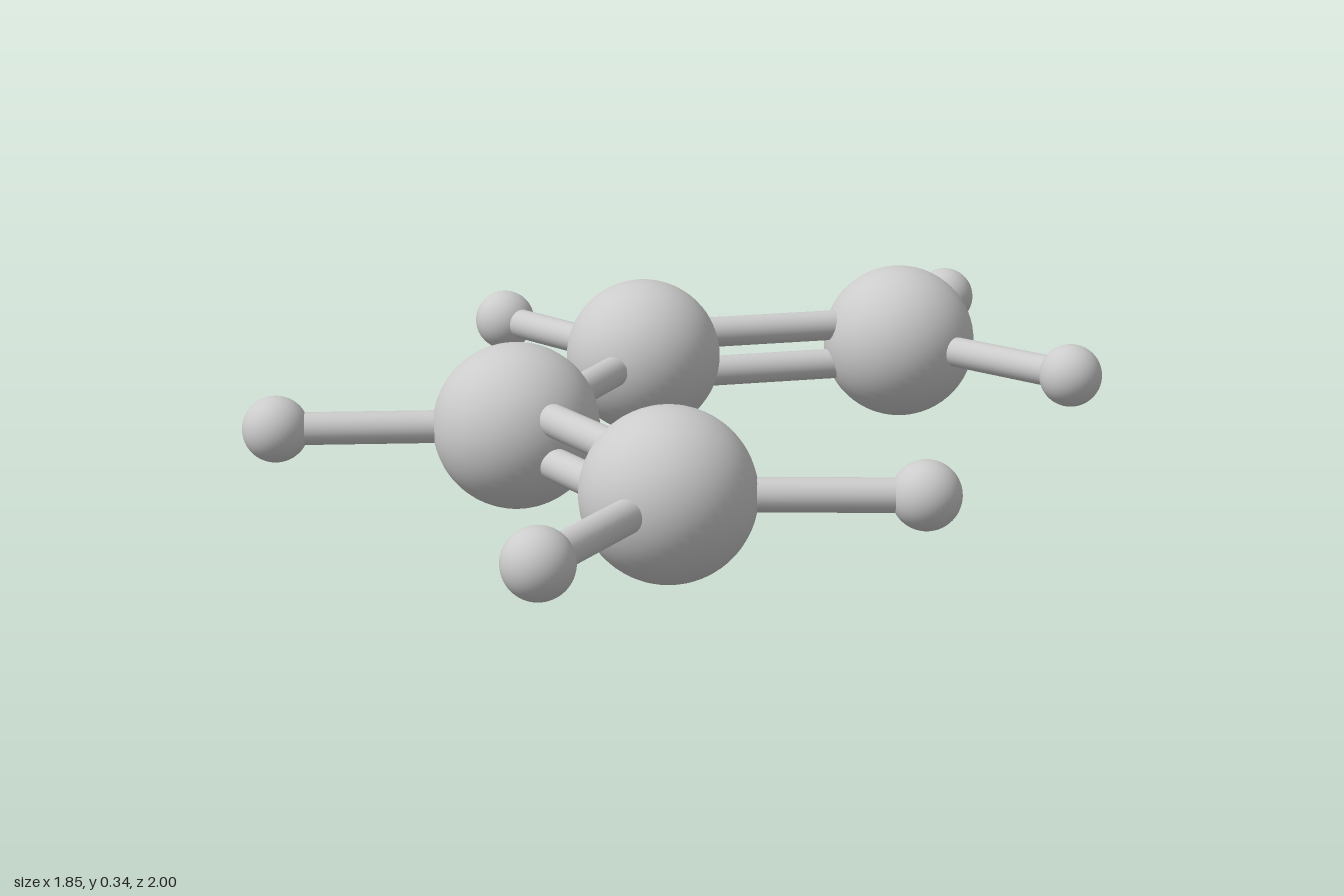
import * as THREE from 'three';

const MID = 0.17; // height of the plane holding every atom
const LARGE = 0.168, SMALL = 0.067, ROD = 0.033, GAP = 0.044;

export function createModel() {
  const model = new THREE.Group();
  model.name = 'ballAndStickMolecule';
  const material = new THREE.MeshStandardMaterial({ color: 0xcccccc });

  const add = (geometry, name) => {
    const mesh = new THREE.Mesh(geometry, material);
    mesh.name = name;
    model.add(mesh);
    return mesh;
  };

  const ball = ([x, z], radius, name) =>
    add(new THREE.SphereGeometry(radius, 48, 32), name).position.set(x, MID, z);

  // Cylinder between two atom centres, optionally lifted off the plane
  const rod = (a, b, lift, name) => {
    const start = new THREE.Vector3(a[0], MID + lift, a[1]);
    const end = new THREE.Vector3(b[0], MID + lift, b[1]);
    const direction = end.clone().sub(start);
    const mesh = add(new THREE.CylinderGeometry(ROD, ROD, direction.length(), 24), name);
    mesh.position.copy(start).lerp(end, 0.5);
    mesh.quaternion.setFromUnitVectors(new THREE.Vector3(0, 1, 0), direction.normalize());
  };

  // Chain of large atoms as [x, z], each with its attached small atoms
  const chain = [
    { at: [0.597, -0.491], small: [[0.853, -0.897], [0.844, -0.081]] },
    { at: [0.008, -0.503], small: [[-0.21, -0.933]] },
    { at: [-0.389, 0.01], small: [[-0.86, -0.091]] },
    { at: [-0.225, 0.578], small: [[0.235, 0.711], [-0.553, 0.933]] },
  ];

  chain.forEach(({ at, small }, i) => {
    ball(at, LARGE, 'largeAtom');
    for (const p of small) {
      ball(p, SMALL, 'smallAtom');
      rod(at, p, 0, 'outerBond');
    }
    // End links are paired rods, the middle link is a single rod
    if (i < chain.length - 1) {
      const lifts = i === 1 ? [0] : [GAP, -GAP];
      for (const lift of lifts) rod(at, chain[i + 1].at, lift, i === 1 ? 'singleBond' : 'doubleBond');
    }
  });

  return model;
}
